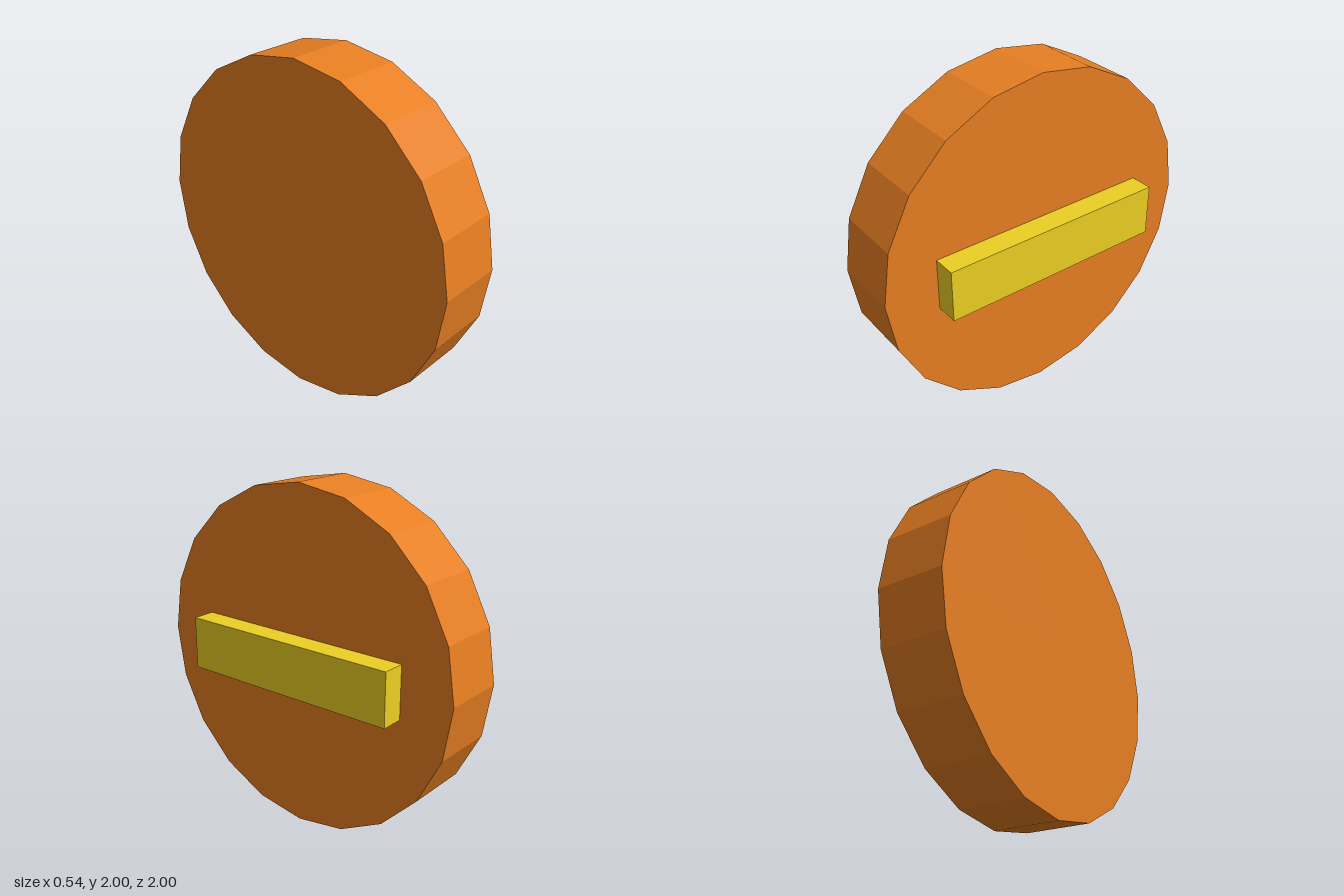
import * as THREE from 'three';

export function createModel() {
  const model = new THREE.Group();

  const addPart = (name, geometry, color, x) => {
    const material = new THREE.MeshStandardMaterial({ color, flatShading: true });
    const mesh = new THREE.Mesh(geometry, material);
    mesh.name = name;
    mesh.position.set(x, 1, 0);
    model.add(mesh);
  };

  // Twenty-sided disc standing on edge, its axis along x
  const disc = new THREE.CylinderGeometry(1, 1, 0.4, 20).rotateZ(Math.PI / 2);
  addPart('disc', disc, 0xe67e22, -0.068);

  // Raised bar across the left face
  addPart('bar', new THREE.BoxGeometry(0.136, 0.31, 1.37), 0xeccf23, 0.2);

  return model;
}
